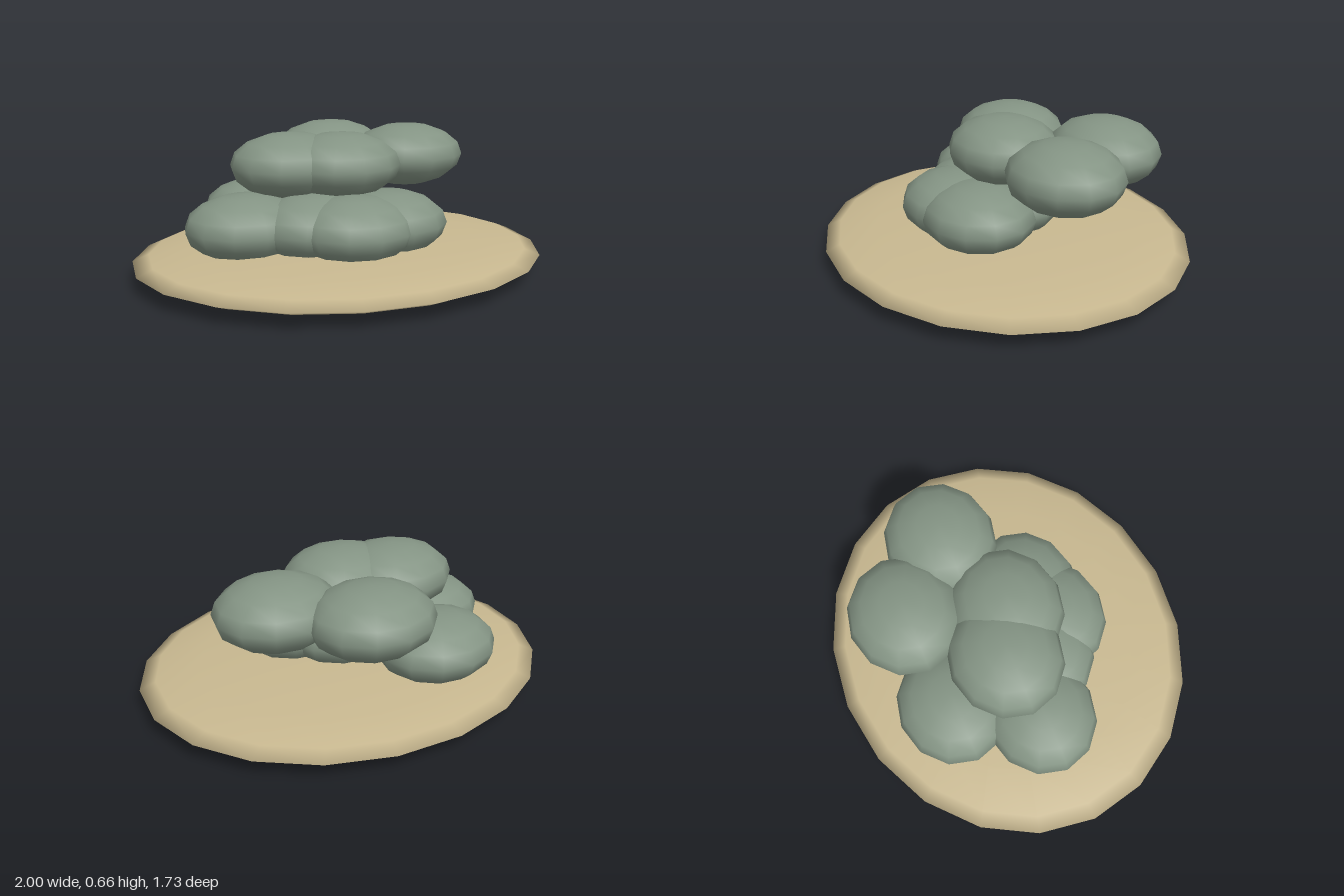
import * as THREE from 'three';

export function createModel() {
  const model = new THREE.Group();
  const sand = new THREE.MeshStandardMaterial({ color: 0xc8b890 });
  const stone = new THREE.MeshStandardMaterial({ color: 0x849484 });

  // flattened oval base
  const base = new THREE.Mesh(new THREE.SphereGeometry(1, 20, 8), sand);
  base.name = 'base';
  base.scale.set(1, 0.08, 0.865);
  base.position.y = 0.085;
  model.add(base);

  // oval pebbles in two layers, each listed as [x, z]
  const pebbleGeometry = new THREE.SphereGeometry(1, 12, 8);
  const addLayer = (name, y, spots) => {
    const layer = new THREE.Group();
    layer.name = name;
    for (const [x, z] of spots) {
      const pebble = new THREE.Mesh(pebbleGeometry, stone);
      pebble.name = 'pebble';
      pebble.scale.set(0.295, 0.156, 0.265);
      pebble.position.set(x, y, z);
      layer.add(pebble);
    }
    model.add(layer);
  };

  addLayer('lowerPebbles', 0.248, [
    [-0.25, -0.395], [-0.465, -0.04], [-0.178, 0.09],
    [0, 0], [-0.04, 0.225], [0.157, 0.17],
  ]);
  addLayer('upperPebbles', 0.51, [
    [0.16, -0.44], [0.445, -0.14], [-0.215, -0.103], [0, 0],
  ]);

  return model;
}
